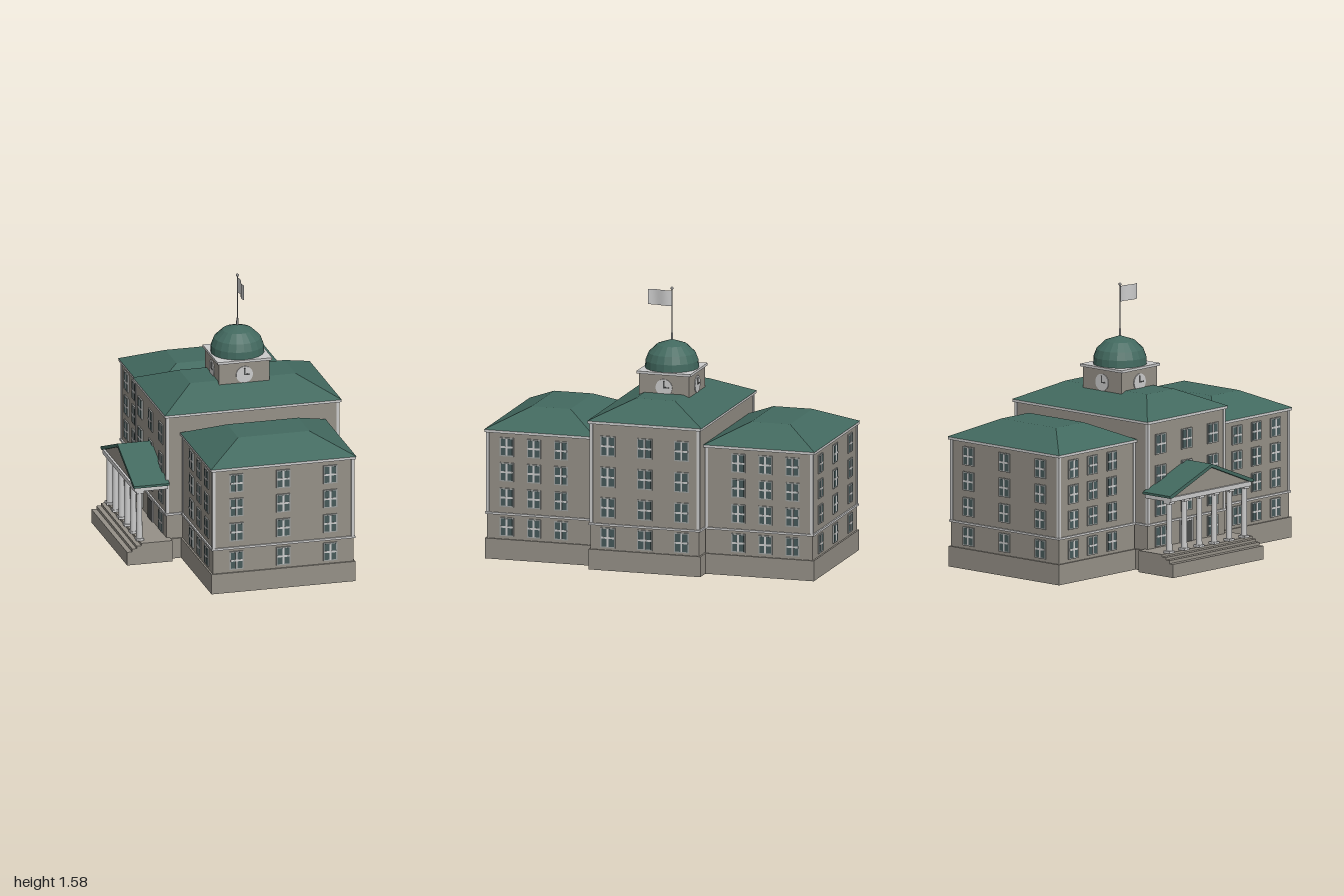
import * as THREE from 'three';

const material = (name, color) => {
  const m = new THREE.MeshStandardMaterial({ color });
  m.name = name;
  return m;
};

export function createModel() {
  const stone = material('stone', 0x959087);
  const trim = material('trim', 0xcbcbcb);
  const roofGreen = material('roof green', 0x42695f);
  roofGreen.flatShading = true;
  const glass = material('glass', 0x46595a);
  const frameGrey = material('frame grey', 0x9c9f9d);
  const dark = material('dark metal', 0x4b4d4d);
  const poleGrey = material('pole grey', 0x8a8a8a);
  const cloth = material('flag cloth', 0xcbcbcb);
  cloth.side = THREE.DoubleSide;

  const root = new THREE.Group();
  root.name = 'courthouse';
  const CX = 0.115; // centre line of the building

  const add = (parent, name, geo, mat, x = 0, y = 0, z = 0) => {
    const mesh = new THREE.Mesh(geo, mat);
    mesh.name = name;
    mesh.position.set(x, y, z);
    parent.add(mesh);
    return mesh;
  };
  // Box given by its centre in x and z and by its bottom and top in y
  const block = (parent, name, mat, x, z, w, d, y0, y1) =>
    add(parent, name, new THREE.BoxGeometry(w, y1 - y0, d), mat, x, (y0 + y1) / 2, z);
  const group = (parent, name) => {
    const g = new THREE.Group();
    g.name = name;
    parent.add(g);
    return g;
  };

  // Hipped roof with a flat top: a box with its upper corners pulled in
  function hipRoof(parent, x, z, w, d, topW, topD, y0, y1) {
    const geo = new THREE.BoxGeometry(w, y1 - y0, d);
    const p = geo.attributes.position;
    for (let i = 0; i < p.count; i++) {
      if (p.getY(i) > 0) p.setXYZ(i, Math.sign(p.getX(i)) * topW / 2, p.getY(i), Math.sign(p.getZ(i)) * topD / 2);
    }
    geo.computeVertexNormals();
    add(parent, 'roof', geo, roofGreen, x, (y0 + y1) / 2, z);
  }

  // Four-pane window facing +z before it is turned
  const windowParts = (w, h) => [
    ['frame', new THREE.BoxGeometry(w, h, 0.009), frameGrey, 0.003],
    ['panes', new THREE.BoxGeometry(w - 0.014, h - 0.014, 0.009), glass, 0.004],
    ['upright bar', new THREE.BoxGeometry(0.011, h - 0.012, 0.009), trim, 0.006],
    ['cross bar', new THREE.BoxGeometry(w - 0.012, 0.011, 0.009), trim, 0.006],
  ];
  const wingWindow = windowParts(0.083, 0.11);
  const mainWindow = windowParts(0.09, 0.118);
  function addWindow(parent, parts, x, y, z, turn) {
    const g = group(parent, 'window');
    g.position.set(x, y, z);
    g.rotation.y = turn;
    for (const [name, geo, mat, out] of parts) add(g, name, geo, mat, 0, 0, out);
  }

  // Plinth, walls, band, corner strips, eaves
  function storeyBlock(parent, z, halfW, halfD, top) {
    block(parent, 'plinth', stone, CX, z, halfW * 2 + 0.02, halfD * 2 + 0.02, 0, 0.12);
    block(parent, 'walls', stone, CX, z, halfW * 2, halfD * 2, 0.12, top);
    block(parent, 'band', trim, CX, z, halfW * 2 + 0.018, halfD * 2 + 0.018, 0.263, 0.275);
    block(parent, 'eaves', trim, CX, z, halfW * 2 + 0.026, halfD * 2 + 0.026, top, top + 0.016);
    for (const sx of [-1, 1]) for (const sz of [-1, 1]) {
      block(parent, 'corner strip', trim, CX + sx * (halfW - 0.005), z + sz * (halfD - 0.005), 0.018, 0.018, 0.275, top);
    }
  }

  // Central block
  const main = group(root, 'central block');
  storeyBlock(main, 0, 0.515, 0.328, 0.86);
  hipRoof(main, CX, 0, 1.056, 0.69, 0.63, 0.236, 0.876, 0.98);
  for (const s of [-1, 1]) for (const y of [0.193, 0.37, 0.55, 0.733]) for (const z of [-0.2225, 0, 0.2225]) {
    if (s < 0 && z === 0 && y < 0.3) continue; // the door stands here
    addWindow(main, mainWindow, CX + s * 0.515, y, z, s * Math.PI / 2);
  }
  block(main, 'door frame', trim, CX - 0.517, 0, 0.009, 0.11, 0.125, 0.26);
  block(main, 'door', dark, CX - 0.519, 0, 0.009, 0.09, 0.125, 0.25);

  // Two matching wings
  for (const s of [1, -1]) {
    const wing = group(root, s > 0 ? 'front wing' : 'back wing');
    storeyBlock(wing, s * 0.66, 0.42, 0.323, 0.745);
    hipRoof(wing, CX, s * 0.663, 0.87, 0.67, 0.425, 0.235, 0.761, 0.865);
    for (const y of [0.193, 0.366, 0.516, 0.664]) for (const i of [-1, 0, 1]) {
      addWindow(wing, wingWindow, CX + i * 0.28, y, s * 0.983, s > 0 ? 0 : Math.PI);
      for (const side of [-1, 1]) {
        addWindow(wing, wingWindow, CX + side * 0.42, y, s * (0.699 + i * 0.164), side * Math.PI / 2);
      }
    }
  }

  // Clock tower
  const tower = group(root, 'clock tower');
  tower.position.x = CX;
  block(tower, 'tower walls', stone, 0, 0, 0.302, 0.302, 0.96, 1.09);
  block(tower, 'tower cornice', trim, 0, 0, 0.326, 0.326, 1.09, 1.105);
  for (let i = 0; i < 4; i++) {
    const clock = group(tower, 'clock');
    clock.rotation.y = i * Math.PI / 2;
    const face = add(clock, 'clock face', new THREE.CylinderGeometry(0.05, 0.05, 0.008, 24), trim, 0, 1.015, 0.152);
    face.rotation.x = Math.PI / 2;
    add(clock, 'minute hand', new THREE.BoxGeometry(0.007, 0.042, 0.004), dark, 0, 1.033, 0.156);
    add(clock, 'hour hand', new THREE.BoxGeometry(0.034, 0.007, 0.004), dark, 0.0135, 1.0155, 0.156);
  }
  const domeProfile = [[0.155, 1.105], [0.153, 1.148], [0.136, 1.193], [0.087, 1.24], [0, 1.27]];
  add(tower, 'dome', new THREE.LatheGeometry(domeProfile.map(([r, y]) => new THREE.Vector2(r, y)), 20), roofGreen);

  // Flagpole and waving flag
  add(tower, 'pole foot', new THREE.CylinderGeometry(0.006, 0.007, 0.045, 10), poleGrey, 0, 1.285, 0);
  add(tower, 'flagpole', new THREE.CylinderGeometry(0.0035, 0.0035, 0.28, 8), poleGrey, 0, 1.43, 0);
  add(tower, 'pole ball', new THREE.SphereGeometry(0.009, 10, 8), poleGrey, 0, 1.569, 0);
  const flag = new THREE.PlaneGeometry(0.145, 0.091, 12, 1);
  flag.rotateY(-Math.PI / 2);
  const fp = flag.attributes.position;
  for (let i = 0; i < fp.count; i++) fp.setX(i, 0.007 * Math.sin((fp.getZ(i) + 0.0725) * 43));
  flag.computeVertexNormals();
  add(tower, 'flag', flag, cloth, 0, 1.51, 0.0725);

  // Porch with steps, columns and gable
  const porch = group(root, 'porch');
  const steps = [[-0.65, 0.08], [-0.62, 0.098], [-0.593, 0.113], [-0.565, 0.127]];
  steps.forEach(([x, y], i) => {
    block(porch, 'step', stone, (x - 0.38) / 2, 0, -0.38 - x, 0.77, i ? steps[i - 1][1] : 0, y);
  });
  for (let i = 0; i < 6; i++) {
    const z = -0.32 + i * 0.128;
    add(porch, 'column', new THREE.CylinderGeometry(0.016, 0.018, 0.305, 14), trim, -0.56, 0.279, z);
    block(porch, 'column base', trim, -0.56, z, 0.045, 0.045, 0.127, 0.14);
    block(porch, 'column cap', trim, -0.56, z, 0.045, 0.045, 0.415, 0.43);
  }
  block(porch, 'beam', trim, -0.495, 0, 0.2, 0.69, 0.43, 0.457);
  // Outline in z and y, pushed along x
  const gable = (name, points, x0, x1, mat) => {
    const shape = new THREE.Shape(points.map(([z, y]) => new THREE.Vector2(z, y)));
    const geo = new THREE.ExtrudeGeometry(shape, { depth: x1 - x0, bevelEnabled: false });
    geo.rotateY(-Math.PI / 2);
    add(porch, name, geo, mat, x1, 0, 0);
  };
  gable('pediment', [[-0.335, 0.457], [0.335, 0.457], [0, 0.592]], -0.582, -0.39, stone);
  gable('porch roof', [[-0.36, 0.455], [-0.335, 0.455], [0, 0.588], [0.335, 0.455], [0.36, 0.455], [0.36, 0.468], [0, 0.608], [-0.36, 0.468]], -0.602, -0.39, roofGreen);

  return root;
}
